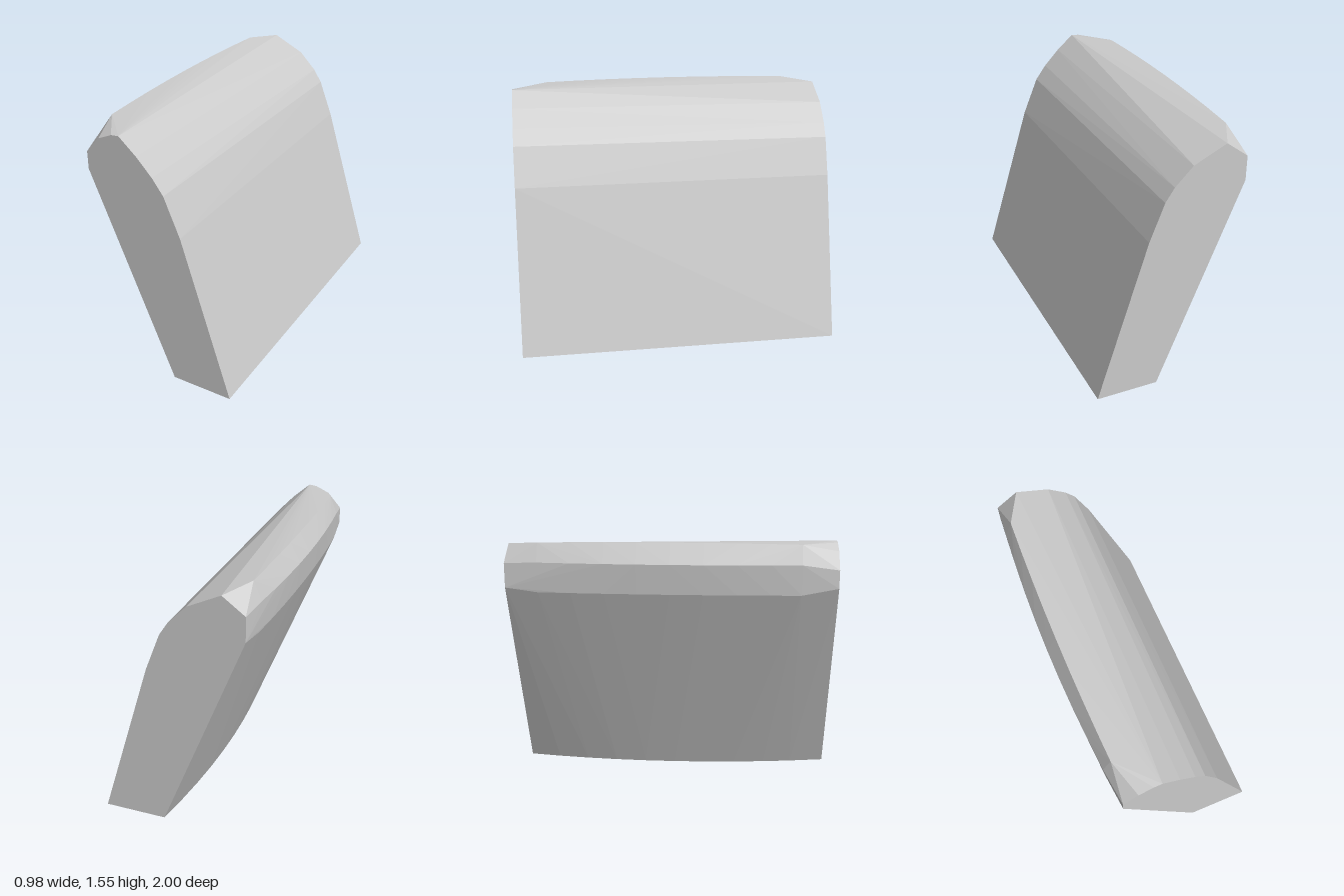
import * as THREE from 'three';
import { ConvexGeometry } from 'three/addons/geometries/ConvexGeometry.js';

// End outlines as [x, y], counter-clockwise from the bottom rear corner
const FRONT_END = [
  [0.10, 0], [0.49, 0], [0.18, 1.01], [0.08, 1.25], [0.01, 1.345], [-0.09, 1.45],
  [-0.2, 1.545], [-0.25, 1.54], [-0.34, 1.5], [-0.43, 1.4], [-0.43, 1.29],
];
const BACK_END = [
  [0.075, 0], [0.46, 0], [0.15, 1.007], [0.06, 1.237], [0.005, 1.32],
  [-0.105, 1.43], [-0.305, 1.525], [-0.44, 1.425], [-0.44, 1.275],
];

export function createModel() {
  const group = new THREE.Group();
  group.name = 'leaningCushion';

  // Flat ends of the cushion
  const points = [];
  FRONT_END.forEach(([x, y]) => points.push(new THREE.Vector3(x, y, 1)));
  BACK_END.forEach(([x, y]) => points.push(new THREE.Vector3(x, y, -1)));

  // The -x face and top rim bow outwards between the ends
  for (const z of [-0.8, -0.6, -0.4, -0.2, 0, 0.2, 0.4, 0.6, 0.78]) {
    const s = z * z;
    points.push(
      new THREE.Vector3(0.087 * s + 0.012 * z, 0, z),
      new THREE.Vector3(-0.473 + 0.04 * s, 1.25, z),
      new THREE.Vector3(-0.494 + 0.057 * s, 1.432, z),
      new THREE.Vector3(-0.43 + 0.03 * s, 1.555 - 0.014 * s, z),
    );
  }

  const cushion = new THREE.Mesh(
    new ConvexGeometry(points),
    new THREE.MeshStandardMaterial({ color: 0xcccccc, flatShading: true }),
  );
  cushion.name = 'cushion';
  group.add(cushion);
  return group;
}
